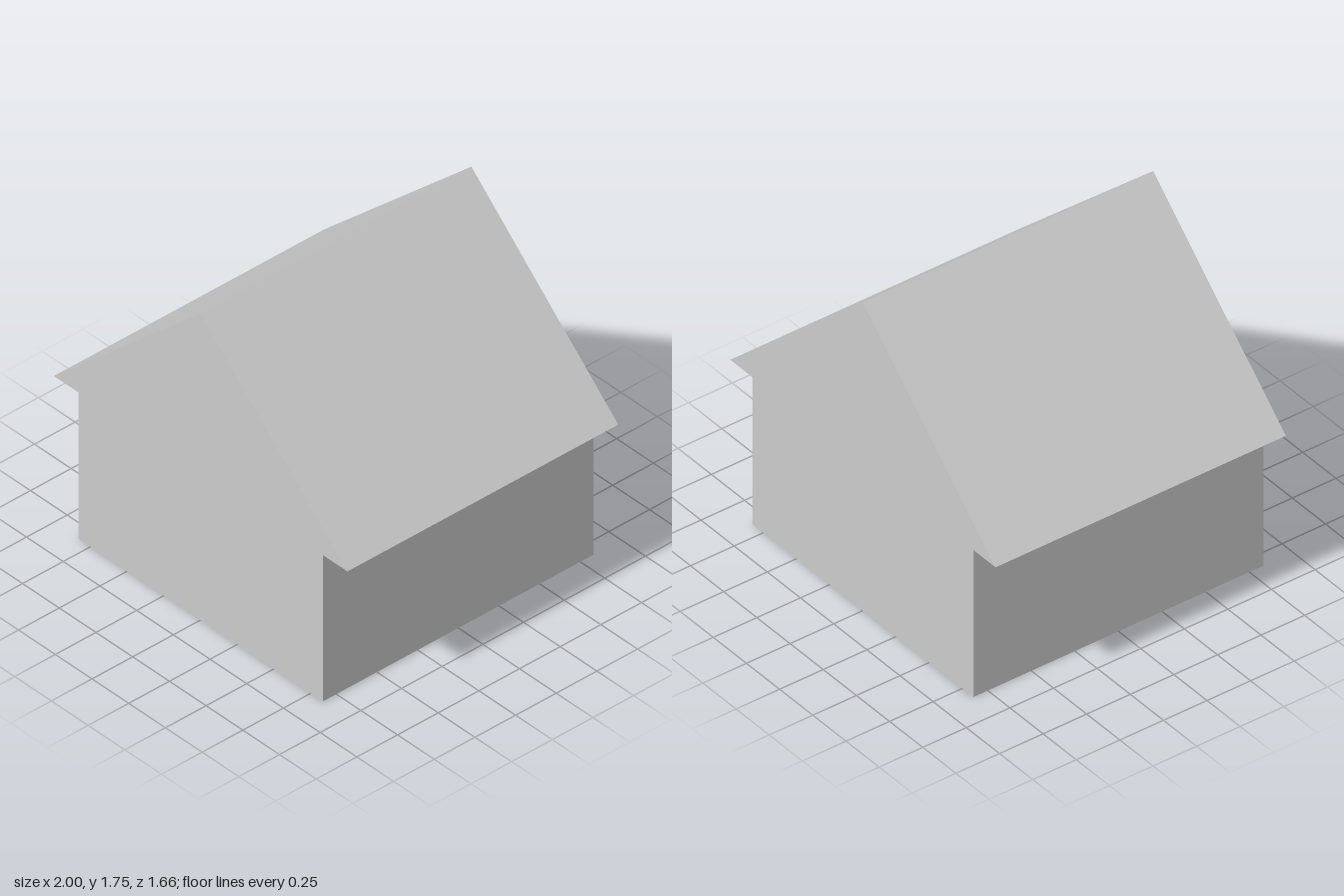
import * as THREE from 'three';

const WALL = 0.833;   // half width of the walls
const EAVE = 0.835;   // height of the eaves
const RIDGE = 1.75;   // height of the ridge
const DEPTH = 1.665;  // front to back

export function createModel() {
  const group = new THREE.Group();
  group.name = 'house';
  const material = new THREE.MeshStandardMaterial({ color: 0xcccccc, flatShading: true });

  // Gable outline: right half from the floor up to the ridge, then mirrored
  const half = [[WALL, 0], [WALL, EAVE], [1, EAVE]];
  const mirrored = half.map(([x, y]) => [-x, y]).reverse();
  const outline = [...half, [0, RIDGE], ...mirrored].map(([x, y]) => new THREE.Vector2(x, y));

  // Walls and overhanging roof are one solid with flush gables
  const geometry = new THREE.ExtrudeGeometry(new THREE.Shape(outline), {
    depth: DEPTH,
    bevelEnabled: false,
  });
  geometry.translate(0, 0, -DEPTH / 2);

  const body = new THREE.Mesh(geometry, material);
  body.name = 'wallsAndRoof';
  group.add(body);
  return group;
}
